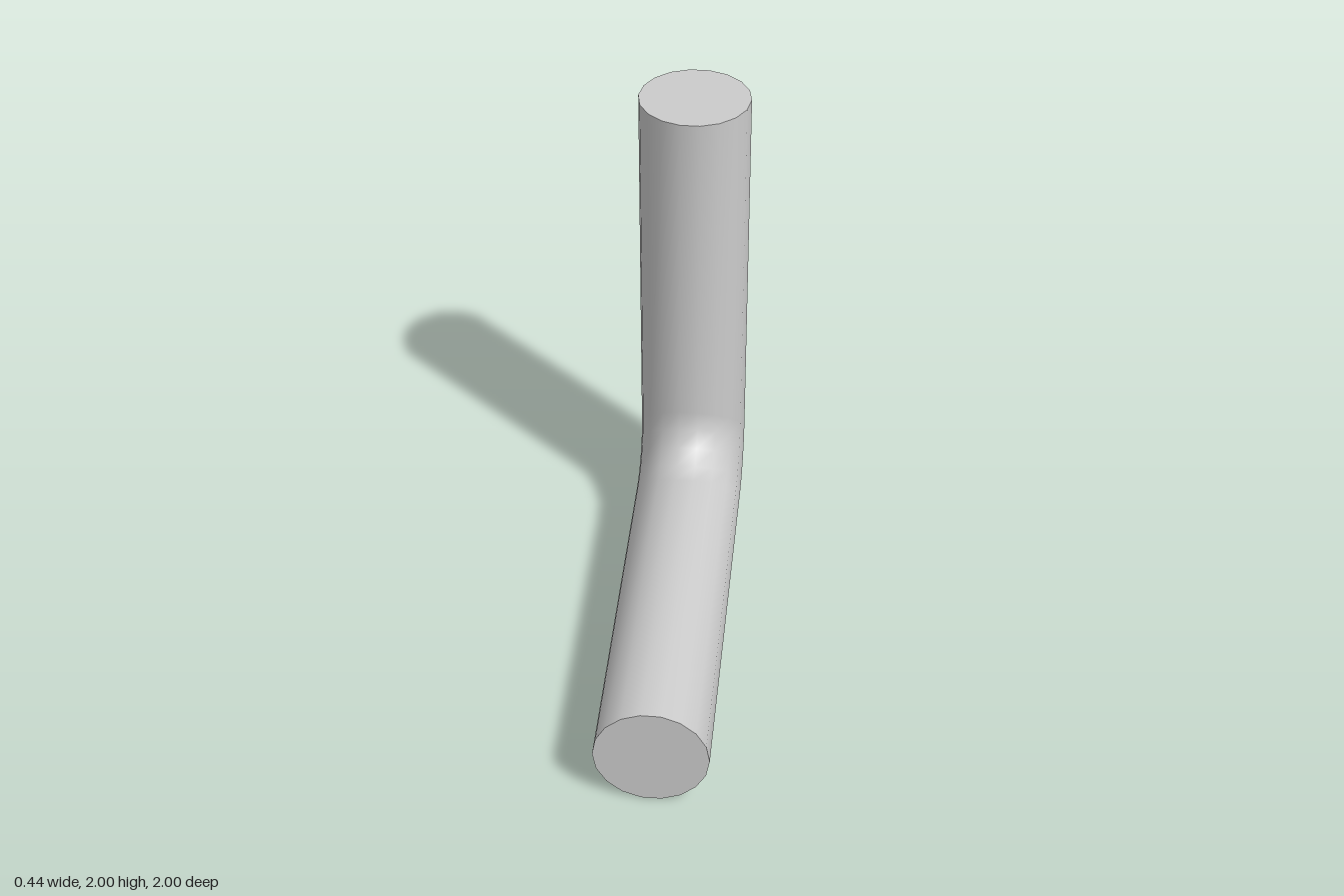
import * as THREE from 'three';

const SIDES = 18, R = 0.22, H = R * Math.cos(Math.PI / SIDES); // H: half height across the flats
const BEND = 0.2, BEND_STEPS = 4;

// One lengthwise line of the pipe as [y, z] points: level leg, rounded mitre corner, upright leg
function lengthLine(d) {
  const line = [[d, 1]];
  for (let i = 0; i <= BEND_STEPS; i++) {
    const t = (i / BEND_STEPS) * Math.PI / 2;
    line.push([d + BEND * (1 - Math.cos(t)), -1 + d + BEND * (1 - Math.sin(t))]);
  }
  line.push([2, -1 + d]);
  return line;
}

// Pipe wall: the same bent line repeated around the cross-section
function wallGeometry() {
  const rows = BEND_STEPS + 3, positions = [], index = [];
  for (let j = 0; j < SIDES; j++) {
    const a = (j / SIDES) * Math.PI * 2;
    for (const [y, z] of lengthLine(H + R * Math.sin(a))) positions.push(R * Math.cos(a), y, z);
  }
  for (let j = 0; j < SIDES; j++) {
    for (let i = 0; i < rows - 1; i++) {
      const a = j * rows + i, b = ((j + 1) % SIDES) * rows + i;
      index.push(a, a + 1, b, b, a + 1, b + 1);
    }
  }
  const geometry = new THREE.BufferGeometry();
  geometry.setAttribute('position', new THREE.Float32BufferAttribute(positions, 3));
  geometry.setIndex(index);
  geometry.computeVertexNormals();
  return geometry;
}

export function createModel() {
  const group = new THREE.Group();
  group.name = 'elbowPipe';
  const material = new THREE.MeshStandardMaterial({ color: 0xcccccc });

  const add = (name, geometry) => {
    const mesh = new THREE.Mesh(geometry, material);
    mesh.name = name;
    group.add(mesh);
    return mesh;
  };

  add('pipeWall', wallGeometry());

  // Flat end caps
  add('frontCap', new THREE.CircleGeometry(R, SIDES)).position.set(0, H, 1);
  const topCap = add('topCap', new THREE.CircleGeometry(R, SIDES));
  topCap.rotation.x = -Math.PI / 2;
  topCap.position.set(0, 2, -1 + H);

  return group;
}
